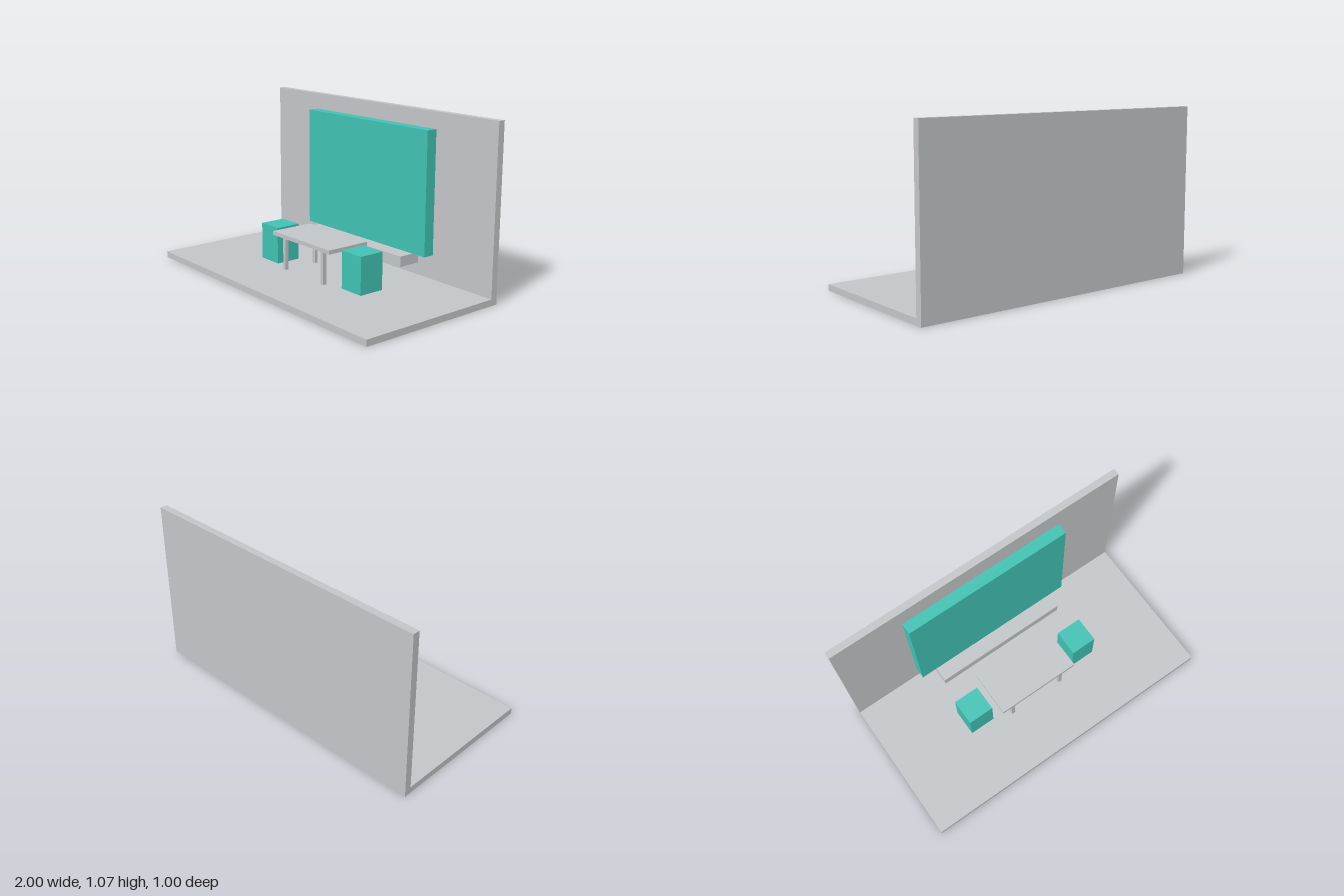
import * as THREE from 'three';

export function createModel() {
  const model = new THREE.Group();
  model.name = 'displayRoom';

  const grey = new THREE.MeshStandardMaterial({ name: 'light grey', color: 0xc2c5c8 });
  const teal = new THREE.MeshStandardMaterial({ name: 'teal', color: 0x41c1b3 });

  // Box given by its lower and upper limits on each axis
  function box(name, material, [x0, x1], [y0, y1], [z0, z1], parent = model) {
    const mesh = new THREE.Mesh(new THREE.BoxGeometry(x1 - x0, y1 - y0, z1 - z0), material);
    mesh.position.set((x0 + x1) / 2, (y0 + y1) / 2, (z0 + z1) / 2);
    mesh.name = name;
    parent.add(mesh);
    return mesh;
  }

  const floorTop = 0.04;
  const wallFront = -0.455;

  // Room shell
  box('floor', grey, [-1, 1], [0, floorTop], [wallFront, 0.5]);
  box('backWall', grey, [-1, 1], [0, 1.068], [-0.5, wallFront]);

  // Panel with the shelf beneath it, both standing clear of the wall
  box('panel', teal, [-0.55, 0.55], [0.201, 0.968], [-0.435, -0.363]);
  box('shelf', grey, [-0.447, 0.447], [0.135, 0.2], [-0.413, -0.265]);

  // Table
  const table = new THREE.Group();
  table.name = 'table';
  model.add(table);
  box('tableTop', grey, [-0.276, 0.276], [0.251, 0.276], [-0.148, 0.148], table);
  for (const x of [-0.186, 0.186]) {
    for (const z of [-0.117, 0.117]) {
      box('tableLeg', grey, [x - 0.012, x + 0.012], [floorTop, 0.251], [z - 0.012, z + 0.012], table);
    }
  }

  // Stools at both ends of the table
  for (const [name, x] of [['rightStool', -0.4], ['leftStool', 0.4]]) {
    box(name, teal, [x - 0.084, x + 0.084], [floorTop, 0.275], [-0.084, 0.084]);
  }

  return model;
}
